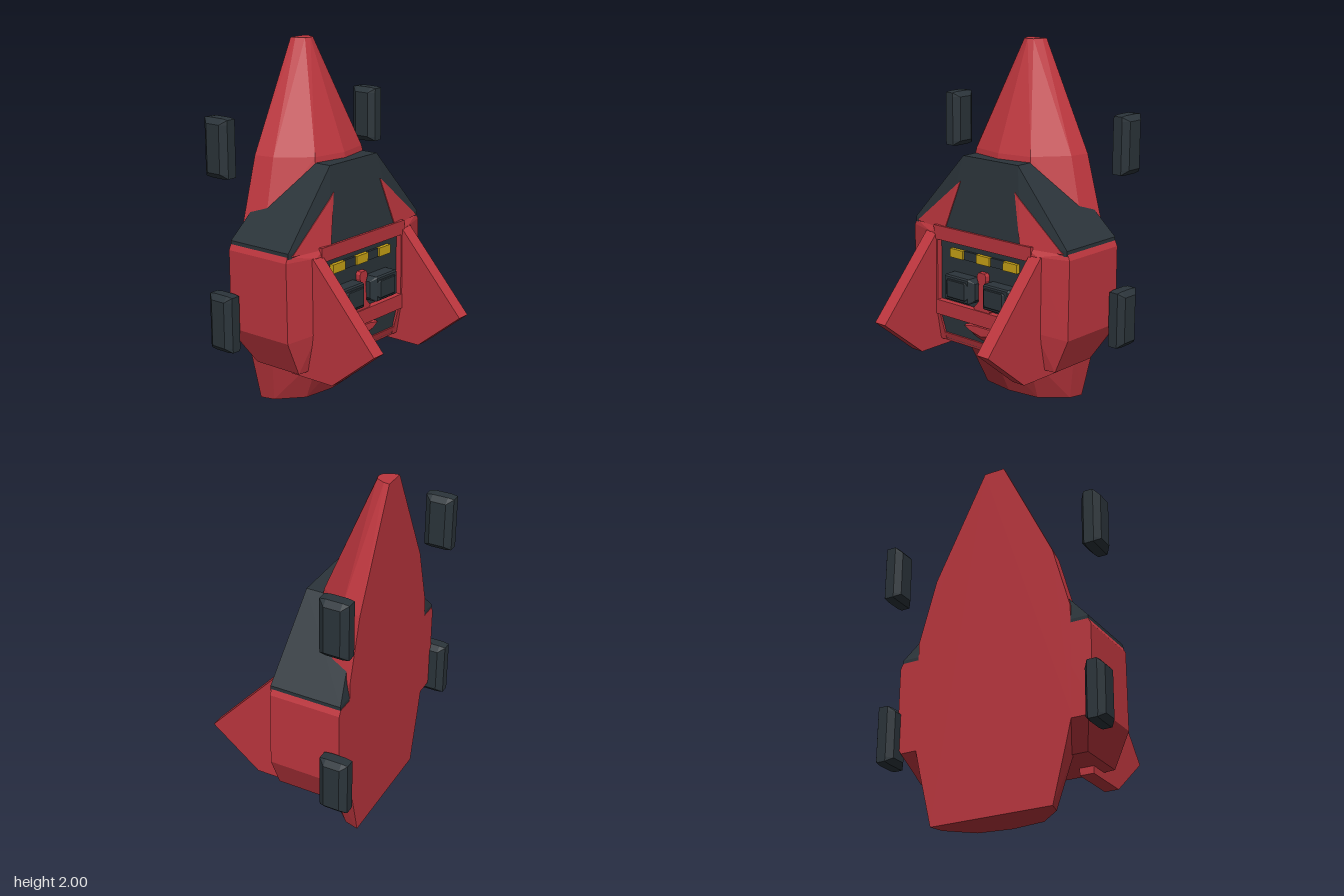
import * as THREE from 'three';
import { ConvexGeometry } from 'three/addons/geometries/ConvexGeometry.js';

const red = new THREE.MeshStandardMaterial({ name: 'red', color: 0xbd363e });
const dark = new THREE.MeshStandardMaterial({ name: 'charcoal', color: 0x2b343a });
const yellow = new THREE.MeshStandardMaterial({ name: 'yellow', color: 0xc9a416 });

export function createModel() {
  const group = new THREE.Group();

  const add = (name, geometry, material) => {
    const mesh = new THREE.Mesh(geometry, material);
    mesh.name = name;
    group.add(mesh);
    return mesh;
  };
  // Faceted convex solid from its corner points
  const hull = (name, points, material) =>
    add(name, new ConvexGeometry(points.map((p) => new THREE.Vector3(...p))), material);
  const flip = (points) => points.map(([x, y, z]) => [-x, y, z]);
  const symmetric = (name, points, material) => hull(name, [...points, ...flip(points)], material);
  const pair = (name, points, material) => {
    hull('left' + name, points, material);
    hull('right' + name, flip(points), material);
  };
  const box = (name, [x0, x1], [y0, y1], [z0, z1], material) => {
    const g = new THREE.BoxGeometry(x1 - x0, y1 - y0, z1 - z0);
    g.translate((x0 + x1) / 2, (y0 + y1) / 2, (z0 + z1) / 2);
    return add(name, g, material);
  };
  // Flat outline in xy given a thickness along z
  const plate = (name, outline, z0, z1, material) =>
    hull(name, outline.flatMap(([x, y]) => [[x, y, z0], [x, y, z1]]), material);
  // Box with chamfers on every edge that runs across x
  const chamferBox = (name, [cx, cy, cz], [hx, hy, hz], [bx, by, bz], material) => {
    const points = [];
    for (const sx of [-1, 1]) for (const sy of [-1, 1]) for (const sz of [-1, 1]) {
      points.push(
        [cx + sx * hx, cy + sy * (hy - by), cz + sz * (hz - bz)],
        [cx + sx * (hx - bx), cy + sy * hy, cz + sz * (hz - bz * 0.3)],
        [cx + sx * (hx - bx), cy + sy * (hy - by * 0.3), cz + sz * hz]);
    }
    return hull(name, points, material);
  };

  // Flat-backed pointed body: [height, half width, depth]
  const back = -0.39;
  const rings = [[0, 0.35, 0.23], [0.3, 0.425, 0.385], [0.45, 0.46, 0.405],
    [1.05, 0.46, 0.385], [1.4, 0.36, 0.325], [2, 0.06, 0.09]];
  const halfSection = [[1, 0], [0.94, 0.35], [0.55, 0.88], [0, 1]];
  symmetric('pointedBody', rings.flatMap(([y, w, d]) =>
    halfSection.map(([u, v]) => [u * w, y, back + v * d])), red);

  // Cheeks on both sides of the front opening
  pair('Cheek', [
    [0.335, 0.95, back], [0.56, 0.95, back], [0.575, 0.92, back], [0.575, 0.48, back],
    [0.55, 0.43, back], [0.335, 0.43, back], [0.335, 0.285, -0.28], [0.49, 0.285, -0.28],
    [0.49, 0.285, 0.02], [0.575, 0.48, 0.02], [0.575, 0.92, 0.015], [0.56, 0.95, 0.012],
    [0.335, 0.95, 0.065], [0.335, 0.92, 0.072], [0.4, 0.92, 0.072],
    [0.4, 0.5, 0.075], [0.335, 0.5, 0.075], [0.335, 0.285, 0.03], [0.41, 0.285, 0.03],
  ], red);

  // Dark upper housing
  symmetric('upperHousing', [
    [0.2, 1.37, 0], [0.2, 1.37, -0.3], [0.43, 1.112, -0.3],
    [0.56, 0.97, -0.388], [0.56, 0.94, -0.388], [0.56, 0.97, 0.018], [0.56, 0.94, 0.018],
    [0.28, 0.96, 0.064], [0.28, 0.93, 0.064],
  ], dark);

  // Red wedges lying on the front corners of the housing
  pair('ShoulderWedge', [
    [0.2, 1.23, 0.026], [0.235, 1.2, 0.03], [0.28, 0.95, 0.072], [0.54, 0.95, 0.028],
    [0.2, 1.22, 0], [0.28, 0.95, 0.03], [0.54, 0.95, 0],
  ], red);

  // Dark front panel with its red bars
  box('frontPanel', [-0.35, 0.35], [0.3, 0.95], [-0.38, 0.04], dark);
  box('topBar', [-0.36, 0.36], [0.885, 0.965], [0, 0.077], red);
  box('middleBar', [-0.36, 0.36], [0.445, 0.53], [0, 0.077], red);
  symmetric('bottomLip', [
    [0.345, 0.285, -0.28], [0.345, 0.285, 0.035], [0.31, 0.335, 0.05], [0.345, 0.335, -0.28],
  ], red);
  pair('LowerFrame', [
    [0.35, 0.445, 0.03], [0.35, 0.445, 0.068], [0.325, 0.445, 0.068],
    [0.35, 0.29, 0.02], [0.35, 0.29, 0.04], [0.3, 0.29, 0.04], [0.3, 0.29, 0.02],
  ], red);

  // Yellow lights separated by dark blocks
  for (let i = -2; i <= 2; i++) {
    const lit = i % 2 === 0;
    const w = lit ? 0.05 : 0.046;
    box(lit ? 'light' : 'lightSpacer', [i * 0.1 - w, i * 0.1 + w],
      [0.795, 0.845], [0.03, lit ? 0.062 : 0.055], lit ? yellow : dark);
  }

  // Two raised dark pods, each with a shallow cap
  for (const s of [-1, 1]) {
    chamferBox('frontPod', [s * 0.146, 0.638, 0.075], [0.117, 0.072, 0.045], [0.03, 0.025, 0.03], dark);
    chamferBox('podCap', [s * 0.14, 0.638, 0.1], [0.08, 0.052, 0.032], [0.015, 0.015, 0.012], dark);
  }

  // Red centre post and lower scoop
  plate('postHead', [[-0.022, 0.75], [0.022, 0.75], [0.032, 0.735], [0.032, 0.71],
    [0.02, 0.68], [-0.02, 0.68], [-0.032, 0.71], [-0.032, 0.735]], 0.03, 0.07, red);
  plate('postStem', [[-0.02, 0.69], [0.02, 0.69], [0.025, 0.57], [-0.025, 0.57]], 0.03, 0.07, red);
  plate('postFoot', [[-0.025, 0.58], [0.025, 0.58], [0.06, 0.54], [0.05, 0.52],
    [-0.05, 0.52], [-0.06, 0.54]], 0.03, 0.07, red);
  symmetric('lowerScoop', [
    [0.15, 0.42, 0.035], [0.15, 0.405, 0.035], [0.06, 0.447, 0.035], [0.06, 0.355, 0.035],
    [0, 0.34, 0.035], [0.14, 0.415, 0.06], [0.05, 0.437, 0.075], [0.08, 0.4, 0.075], [0, 0.385, 0.077],
  ], red);

  // Triangular fins reaching forward
  const finSide = [[0.07, 0.92], [0.475, 0.47], [0.195, 0.245], [-0.09, 0.245], [-0.09, 0.92]];
  pair('Fin', finSide.flatMap(([z, y]) => [[0.345, y, z], [0.425, y, z]]), red);

  // Four detached side blocks
  for (const s of [-1, 1]) {
    for (const y of [0.525, 1.485]) {
      const points = [];
      for (const sy of [-1, 1]) for (const sz of [-1, 1]) for (const sx of [-1, 1]) {
        const x = s * 0.615;
        points.push(
          [x + sx * 0.055, y + sy * 0.13, -0.394 + sz * 0.045],
          [x + sx * 0.028, y + sy * 0.13, -0.394 + sz * 0.081],
          [x + sx * 0.028, y + sy * 0.16, -0.394 + sz * 0.045],
          [x + sx * 0.026, y + sy * 0.155, -0.394 + sz * 0.081]);
      }
      hull('sideBlock', points, dark);
    }
  }

  return group;
}
